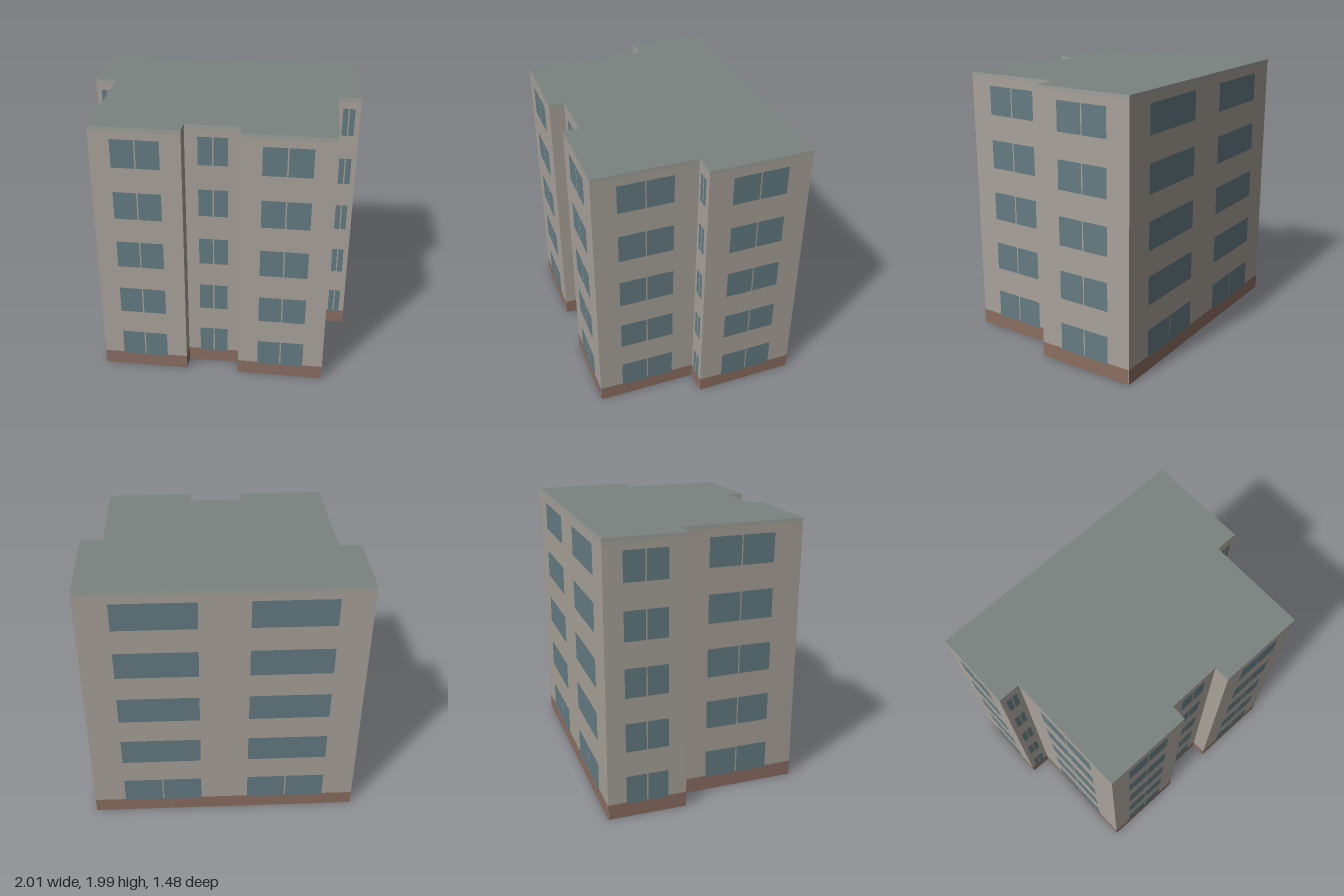
import * as THREE from 'three';

const H = 1.985;          // building height
const PLINTH = 0.112;     // height of the brick base
const FLOORS = 5, PITCH = 0.397, SILL = 0.102, WIN_H = 0.21, MULLION = 0.01;

// Footprint (x, z), walked so that each wall runs left to right seen from outside.
// windows: [centre, width] as fractions of the wall length
const one = [[0.5, 0.535]];
const two = [[0.264, 0.294], [0.736, 0.294]];
const walls = [
  { p: [-1, -0.165], name: 'rightStepWall', windows: one },
  { p: [-0.838, -0.165], name: 'rightFrontSideWall', windows: one },
  { p: [-0.828, 0.735], name: 'rightWingWall', windows: one },
  { p: [-0.195, 0.735], name: 'recessRightWall', windows: [] },
  { p: [-0.192, 0.625], name: 'recessWall', windows: one },
  { p: [0.197, 0.62], name: 'recessLeftWall', windows: [] },
  { p: [0.2, 0.735], name: 'leftWingWall', windows: one },
  { p: [0.835, 0.735], name: 'leftFrontSideWall', windows: one },
  { p: [0.835, 0], name: 'leftStepWall', windows: one },
  { p: [1, 0], name: 'leftRearSideWall', windows: one },
  { p: [0.993, -0.738], name: 'backWall', windows: two, plainUpper: true },
  { p: [-1, -0.738], name: 'rightRearSideWall', windows: one },
];

const paint = (color, side = THREE.FrontSide) => new THREE.MeshStandardMaterial({ color, side });

export function createModel() {
  const model = new THREE.Group();
  model.name = 'apartmentBlock';
  const wallMat = paint(0xa8a299, THREE.DoubleSide);
  const roofMat = paint(0x7b8380, THREE.DoubleSide);
  const brickMat = paint(0x8b6e62);
  const glassMat = paint(0x647c83);
  const trimMat = paint(0x9fa19b);

  walls.forEach((wall, i) => {
    const [ax, az] = wall.p;
    const [bx, bz] = walls[(i + 1) % walls.length].p;
    const length = Math.hypot(bx - ax, bz - az);

    // Local frame of the wall: x along it, y up, z outwards
    const group = new THREE.Group();
    group.name = wall.name;
    group.position.set(ax, 0, az);
    group.rotation.y = Math.atan2(-(bz - az), bx - ax);
    model.add(group);

    const panel = (name, x0, x1, y0, y1, out, material) => {
      const mesh = new THREE.Mesh(new THREE.PlaneGeometry(x1 - x0, y1 - y0), material);
      mesh.position.set((x0 + x1) / 2, (y0 + y1) / 2, out);
      mesh.name = name;
      group.add(mesh);
    };

    panel('wall', 0, length, 0, H, 0, wallMat);
    panel('plinth', 0, length, 0, PLINTH, 0.002, brickMat);
    panel('eaveBand', 0, length, H - 0.028, H, 0.002, trimMat);

    // Window rows, split by a central mullion
    for (const [centre, width] of wall.windows) {
      const mid = centre * length, half = width * length / 2;
      for (let f = 0; f < FLOORS; f++) {
        const y0 = SILL + f * PITCH, y1 = y0 + WIN_H;
        if (wall.plainUpper && f > 0) {
          panel('window', mid - half, mid + half, y0, y1, 0.004, glassMat);
        } else {
          panel('windowPane', mid - half, mid - MULLION / 2, y0, y1, 0.004, glassMat);
          panel('windowPane', mid + MULLION / 2, mid + half, y0, y1, 0.004, glassMat);
        }
      }
    }
  });

  // Flat roof over the footprint; the underside of the building is open
  const outline = new THREE.Shape(walls.map(({ p }) => new THREE.Vector2(p[0], -p[1])));
  const roof = new THREE.Mesh(new THREE.ShapeGeometry(outline).rotateX(-Math.PI / 2), roofMat);
  roof.position.y = H;
  roof.name = 'roof';
  model.add(roof);

  return model;
}
